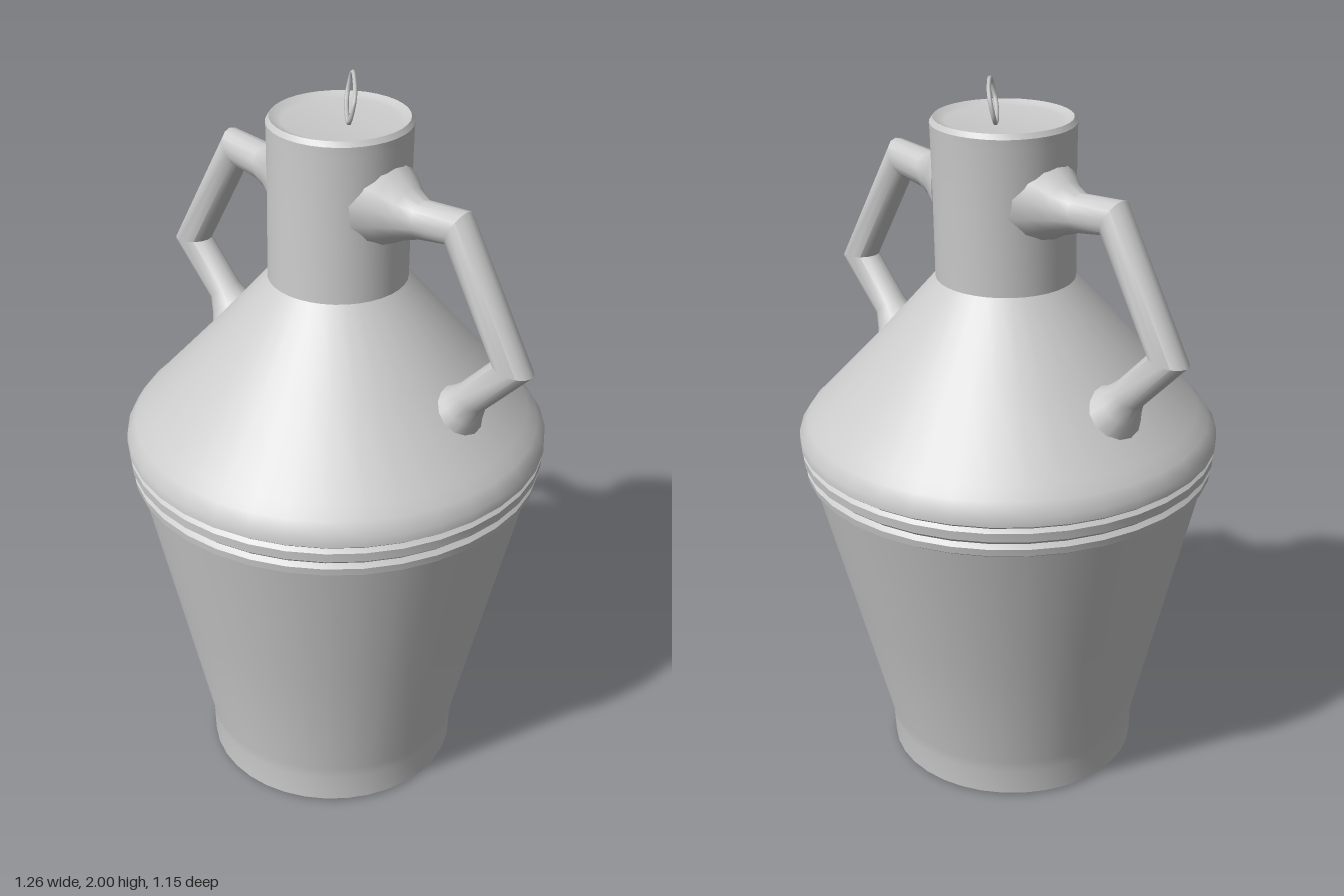
import * as THREE from 'three';
import { toCreasedNormals } from 'three/addons/utils/BufferGeometryUtils.js';

const material = new THREE.MeshStandardMaterial({ color: 0xcccccc });

function addMesh(group, name, geometry) {
  const mesh = new THREE.Mesh(geometry, material);
  mesh.name = name;
  group.add(mesh);
}

// Turned part whose axis leans slightly back and to the right as it rises
function turned(profile, segments = 36) {
  const geometry = new THREE.LatheGeometry(profile.map(([r, y]) => new THREE.Vector2(r, y)), segments);
  const p = geometry.attributes.position;
  for (let i = 0; i < p.count; i++) {
    const y = p.getY(i);
    p.setX(i, p.getX(i) + 0.03 - 0.023 * y);
    p.setZ(i, p.getZ(i) + 0.04 - 0.041 * y);
  }
  return toCreasedNormals(geometry, 0.6);
}

// Round bar along a bent path of [x, y, radius], mitred at each corner
function mitredBar(path, z, sides = 14) {
  const points = path.map(([x, y]) => new THREE.Vector2(x, y));
  const positions = [], index = [];
  path.forEach(([x, y, r], i) => {
    const before = points[i].clone().sub(points[Math.max(i - 1, 0)]).normalize();
    const after = points[Math.min(i + 1, points.length - 1)].clone().sub(points[i]).normalize();
    const t = before.clone().add(after).normalize();
    const miter = 1 / Math.max(t.dot(i ? before : after), 0.5);
    for (let j = 0; j < sides; j++) {
      const a = (j / sides) * Math.PI * 2;
      const n = r * miter * Math.cos(a);
      positions.push(x - t.y * n, y + t.x * n, z + r * Math.sin(a));
      if (i === 0) continue;
      const k = (j + 1) % sides, lo = (i - 1) * sides, hi = i * sides;
      index.push(lo + j, lo + k, hi + k, lo + j, hi + k, hi + j);
    }
  });
  const geometry = new THREE.BufferGeometry();
  geometry.setAttribute('position', new THREE.Float32BufferAttribute(positions, 3));
  geometry.setIndex(index);
  return toCreasedNormals(geometry, 0.6);
}

export function createModel() {
  const group = new THREE.Group();
  group.name = 'jug';

  // Tapered body with a foot band, ridged belt and conical shoulder
  addMesh(group, 'body', turned([
    [0, 0.02], [0.3, 0.018], [0.335, 0.004], [0.353, 0.012], [0.356, 0.09], [0.36, 0.125],
    [0.45, 0.51], [0.545, 0.915],
    [0.56, 0.925], [0.563, 0.945], [0.553, 0.957],
    [0.568, 0.97], [0.57, 0.995], [0.56, 1.005],
    [0.573, 1.015], [0.572, 1.04], [0.55, 1.075], [0.52, 1.105],
    [0.35, 1.29], [0.186, 1.48],
  ]));

  // Neck and its closed top with a slightly sunken lid
  addMesh(group, 'neck', turned([
    [0.186, 1.475], [0.186, 1.7], [0.188, 1.87], [0.189, 1.895],
    [0.18, 1.908], [0.165, 1.9], [0.15, 1.897], [0, 1.902],
  ]));

  // Angular handles with flared roots on the neck and shoulder
  const handle = [
    [0.13, 1.715, 0.13], [0.185, 1.715, 0.098], [0.225, 1.71, 0.07], [0.275, 1.71, 0.05],
    [0.385, 1.722, 0.046], [0.572, 1.402, 0.046],
    [0.45, 1.275, 0.046], [0.425, 1.24, 0.06], [0.385, 1.195, 0.095],
  ];
  for (const side of [1, -1]) {
    const path = handle.map(([x, y, r]) => [side * x - 0.004, y, r]);
    addMesh(group, side > 0 ? 'leftHandle' : 'rightHandle', mitredBar(path, -0.034));
  }

  // Thin oval pull ring standing diagonally on the lid
  const loop = [];
  for (let i = 0; i < 16; i++) {
    const a = (i / 16) * Math.PI * 2;
    const squash = (v, s) => Math.sign(v) * Math.pow(Math.abs(v), 0.65) * s;
    const u = squash(Math.cos(a), 0.107), v = squash(Math.sin(a), 0.044);
    loop.push(new THREE.Vector3(u * 0.7 + v * 0.15, 1.95 + v, u * 0.72 - v * 0.15));
  }
  const ring = new THREE.TubeGeometry(new THREE.CatmullRomCurve3(loop, true), 48, 0.006, 6, true);
  ring.translate(-0.003, 0, -0.065);
  addMesh(group, 'pullRing', ring);

  return group;
}
